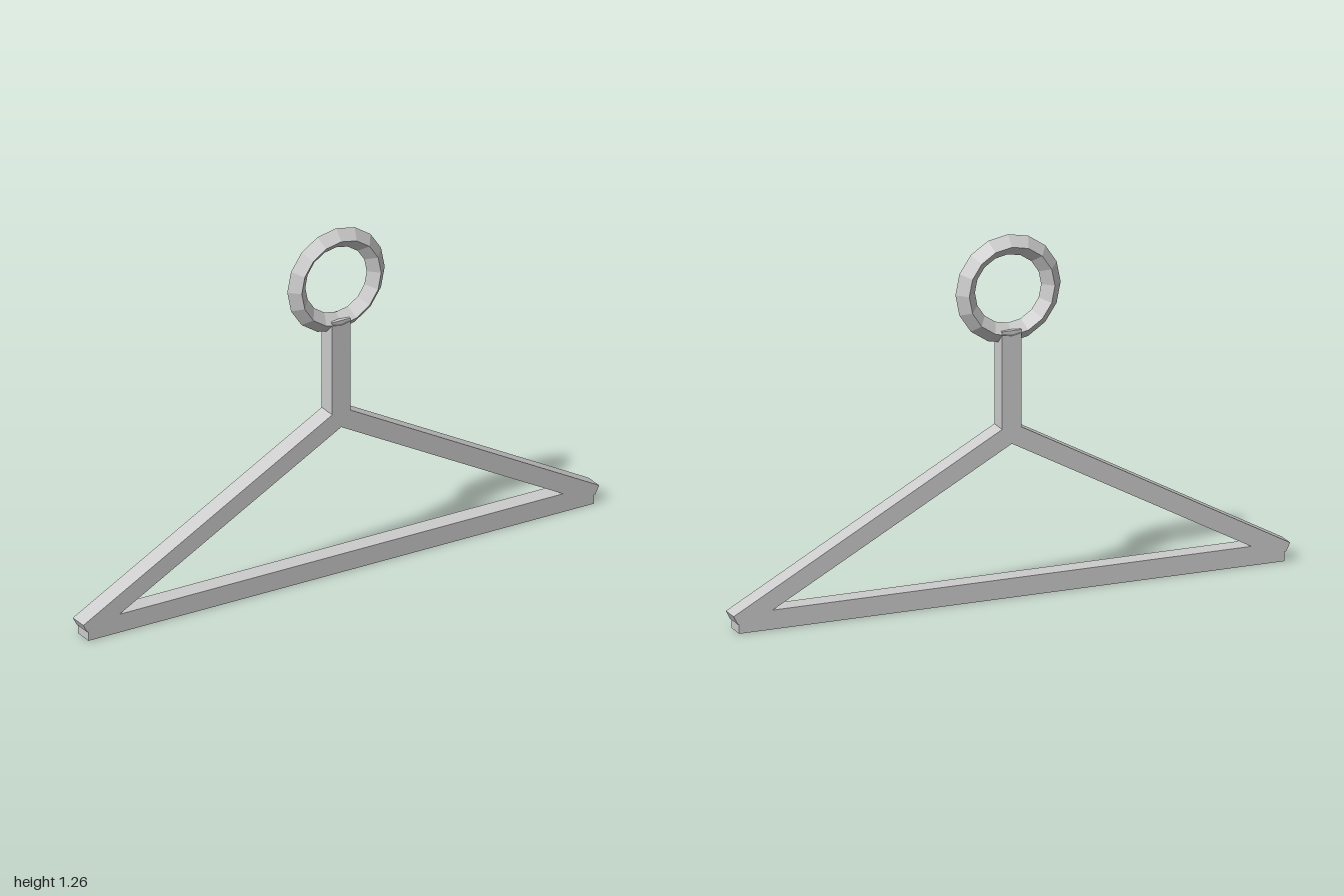
import * as THREE from 'three';

const DEPTH = 0.067;

export function createModel() {
  const hanger = new THREE.Group();
  hanger.name = 'hanger';
  const grey = new THREE.MeshStandardMaterial({ color: 0xcccccc, flatShading: true });
  grey.name = 'light grey';

  const add = (name, geometry, y = 0) => {
    const mesh = new THREE.Mesh(geometry, grey);
    mesh.name = name;
    mesh.position.y = y;
    hanger.add(mesh);
  };
  const points = (list) => list.map(([x, y]) => new THREE.Vector2(x, y));

  // Triangular frame: bottom bar and two sloping arms with square-cut, notched ends
  const rightHalf = [[0.98, 0], [0.98, 0.033], [0.985, 0.033], [1, 0.062], [0.035, 0.59]];
  const leftHalf = rightHalf.map(([x, y]) => [-x, y]).reverse();
  const outline = new THREE.Shape(points([...rightHalf, ...leftHalf]));
  outline.holes.push(new THREE.Path(points([[-0.86, 0.067], [0, 0.536], [0.86, 0.067]])));
  const frame = new THREE.ExtrudeGeometry(outline, { depth: DEPTH, bevelEnabled: false });
  frame.translate(0, 0, -DEPTH / 2);
  add('frame', frame);

  // Upright stem, its top reaching into the ring
  add('stem', new THREE.BoxGeometry(0.07, 0.34, DEPTH), 0.76);

  // Hanging ring with a diamond cross-section
  add('ring', new THREE.TorusGeometry(0.154, 0.035, 4, 16), 1.067);

  return hanger;
}
